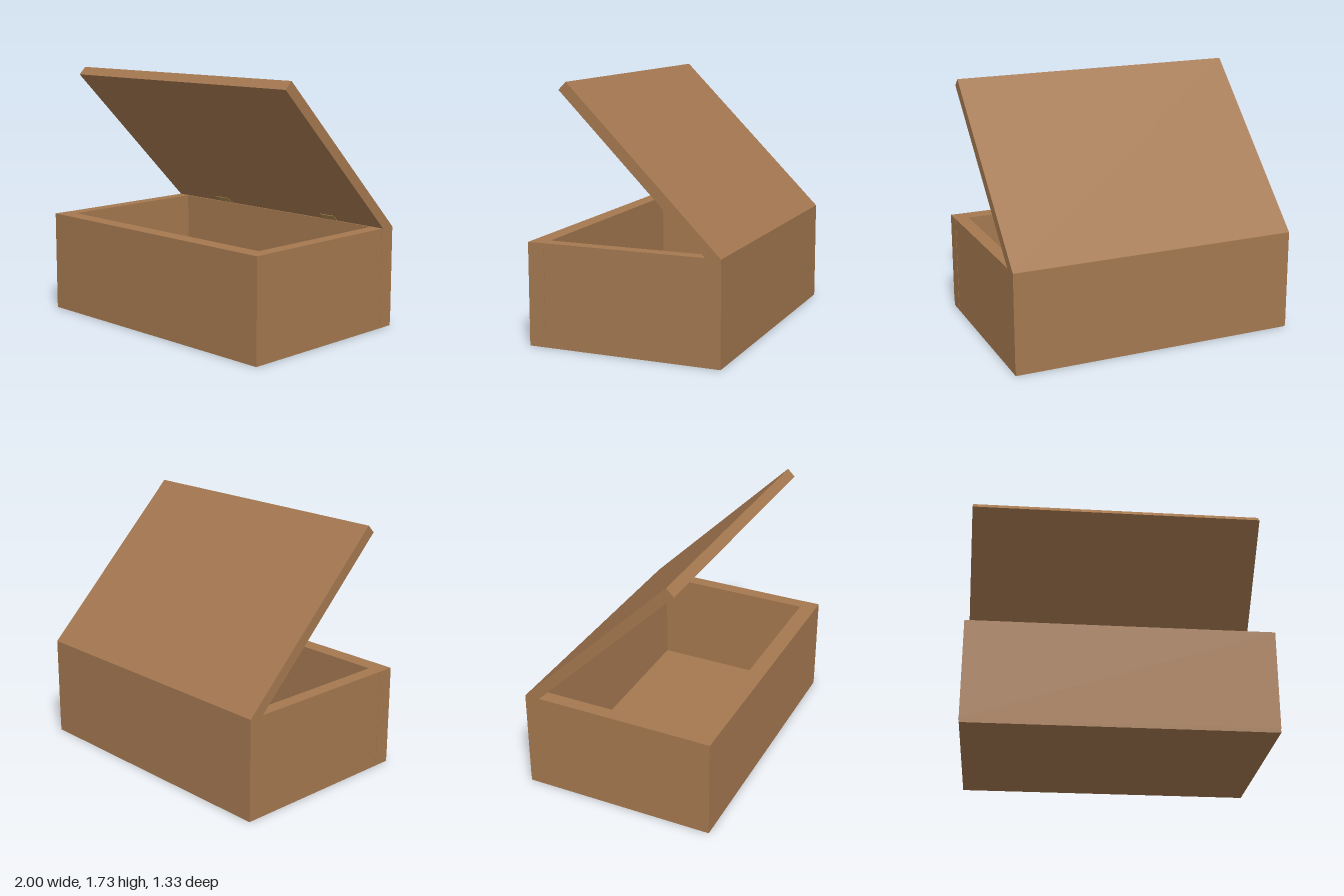
import * as THREE from 'three';

const wood = new THREE.MeshStandardMaterial({ color: 0xa47850 });
wood.name = 'wood';
const brass = new THREE.MeshStandardMaterial({ color: 0xac8852 });
brass.name = 'brass';

// Box given by its minimum and maximum corners
function slab(name, min, max, material = wood) {
  const size = max.map((v, i) => v - min[i]);
  const mesh = new THREE.Mesh(new THREE.BoxGeometry(...size), material);
  mesh.position.set(...max.map((v, i) => (v + min[i]) / 2));
  mesh.name = name;
  return mesh;
}

export function createModel() {
  const model = new THREE.Group();
  model.name = 'openBox';

  const H = 0.693, D = 0.666, floorTop = 0.03;
  const innerX = 0.905, innerZ = 0.552;

  // Floor and four walls
  model.add(
    slab('floor', [-0.998, 0, -D], [0.998, floorTop, D]),
    slab('frontWall', [-1, floorTop, innerZ], [1, H, D]),
    slab('backWall', [-1, floorTop, -D], [1, H, -innerZ]),
    slab('leftWall', [innerX, floorTop, -innerZ], [0.998, H, innerZ]),
    slab('rightWall', [-0.998, floorTop, -innerZ], [-innerX, H, innerZ]),
  );

  // Lid swung open about the back top edge
  const lid = new THREE.Group();
  lid.name = 'lid';
  lid.position.set(0, H, -D);
  lid.rotation.x = -Math.PI / 4;
  const thick = 0.073, length = 1.468;
  lid.add(slab('lidPanel', [-1, -thick, 0], [1, 0, length]));

  // Hinge plates on the underside of the lid
  for (const x of [-0.495, 0.54]) {
    lid.add(slab('hinge', [x - 0.063, -thick - 0.003, 0.01], [x + 0.063, -thick + 0.003, 0.127], brass));
  }
  model.add(lid);
  return model;
}
